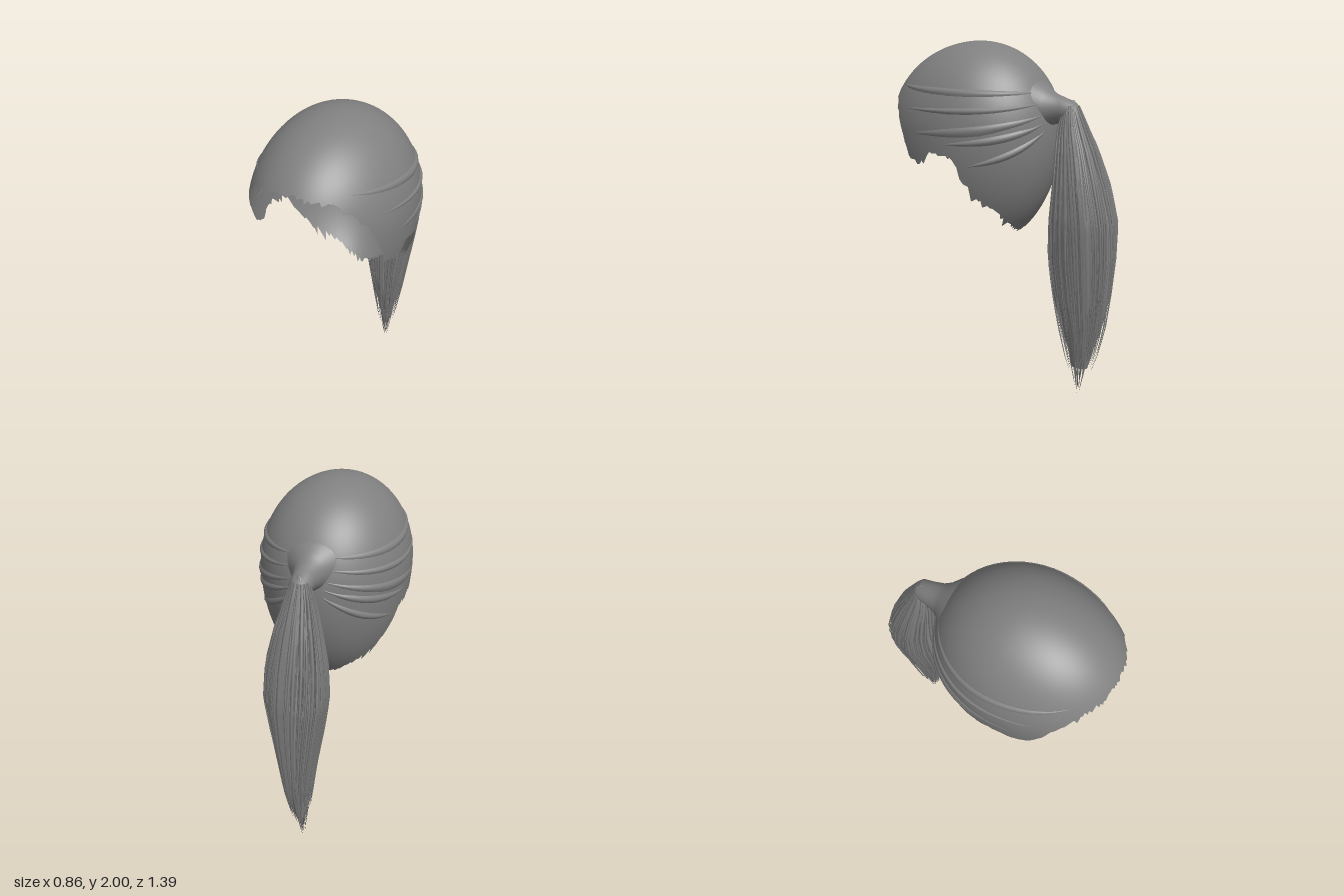
import * as THREE from 'three';
import { mergeVertices, mergeGeometries } from 'three/addons/utils/BufferGeometryUtils.js';

const hair = new THREE.MeshStandardMaterial({ color: 0x808080, side: THREE.DoubleSide });
hair.name = 'hair grey';

let seed = 7;
const rand = () => { seed = (seed * 16807) % 2147483647; return seed / 2147483647; };

// Piecewise linear lookup in rows of [key, a, b, ...], keys ascending
function lookup(rows, k, col = 1) {
  if (k <= rows[0][0]) return rows[0][col];
  for (let i = 1; i < rows.length; i++) {
    if (k <= rows[i][0]) {
      const f = (k - rows[i - 1][0]) / (rows[i][0] - rows[i - 1][0]);
      return THREE.MathUtils.lerp(rows[i - 1][col], rows[i][col], f);
    }
  }
  return rows[rows.length - 1][col];
}

// Surface from a grid of points fn(i, j)
function grid(nu, nv, fn) {
  const pos = [], idx = [];
  for (let j = 0; j <= nv; j++) for (let i = 0; i <= nu; i++) pos.push(...fn(i, j));
  const w = nu + 1;
  for (let j = 0; j < nv; j++) for (let i = 0; i < nu; i++) {
    const a = j * w + i, b = a + 1, c = a + w, d = c + 1;
    idx.push(a, c, b, b, c, d);
  }
  const g = new THREE.BufferGeometry();
  g.setAttribute('position', new THREE.Float32BufferAttribute(pos, 3));
  g.setIndex(idx);
  const m = mergeVertices(g, 1e-5);
  m.computeVertexNormals();
  return m;
}

// Point on the scalp: azimuth (0 = front, towards +x) and height above the brow plane
function scalp(az, phi, lift = 0) {
  const s = Math.sin(phi), c = Math.cos(phi);
  const rz = Math.cos(az) > 0 ? 0.577 : 0.5, ry = c > 0 ? 0.5 : 0.7;
  return [
    (0.425 + lift) * s * Math.sin(az),
    1.5 + (ry + lift) * c,
    0.2 + (rz + lift) * s * Math.cos(az),
  ];
}
const phiAt = (y) => Math.acos(THREE.MathUtils.clamp((y - 1.5) / (y > 1.5 ? 0.5 : 0.7), -1, 1));

// Hairline height by azimuth in degrees, with tooth depth
const hairline = [
  [0, 1.76, 0.02], [33, 1.72, 0.03], [45, 1.65, 0.03], [56, 1.57, 0.03], [62, 1.45, 0.02],
  [67, 1.34, 0.03], [76, 1.30, 0.03], [85, 1.37, 0.03], [102, 1.33, 0.05], [109, 1.2, 0.07],
  [119, 1.1, 0.07], [140, 1.0, 0.05], [158, 0.94, 0.03], [180, 0.9, 0.03],
];

function makeCap() {
  const n = 240, rows = 36, tooth = [];
  let left = 0, len = 1, depth = 0;
  for (let i = 0; i < n; i++) {
    if (left === 0) { len = left = 2 + Math.floor(rand() * 4); depth = rand(); }
    tooth.push((left / len) * depth - 0.4);
    left--;
  }
  return grid(n, rows, (i, j) => {
    const k = i % n, az = (k / n) * Math.PI * 2, t = j / rows;
    const deg = Math.abs((k / n) * 360 > 180 ? 360 - (k / n) * 360 : (k / n) * 360);
    const y = lookup(hairline, deg) - tooth[k] * lookup(hairline, deg, 2) * 1.3 * Math.pow(t, 20);
    return scalp(az, phiAt(y) * t);
  });
}

// Slightly raised lock running over the scalp back to the tie
function makeLock(az0, y0, az1, y1, width) {
  return grid(4, 20, (i, j) => {
    const t = j / 20, u = i / 4 - 0.5;
    const az = THREE.MathUtils.lerp(az0, az1, t) * Math.PI / 180;
    const y = THREE.MathUtils.lerp(y0, y1, t) + Math.sin(t * Math.PI) * -0.03;
    const swell = Math.sin(Math.PI * (0.04 + 0.92 * t));
    return scalp(az, phiAt(y) + u * width * swell, 0.012 * swell * (1 - 4 * u * u) - 0.002);
  });
}

// Flared stem gathering the cap into the tie: [z, centre y, half width, half height]
const stemRows = [
  [-0.2, 1.63, 0.19, 0.15], [-0.24, 1.63, 0.145, 0.125], [-0.28, 1.62, 0.1, 0.1], [-0.32, 1.612, 0.077, 0.083],
  [-0.37, 1.608, 0.064, 0.068], [-0.43, 1.6, 0.055, 0.052], [-0.455, 1.6, 0.035, 0.03], [-0.46, 1.6, 0, 0],
];
const makeStem = () => grid(28, stemRows.length - 1, (i, j) => {
  const a = ((i % 28) / 28) * Math.PI * 2, [z, y, w, h] = stemRows[j];
  return [Math.cos(a) * w, y + Math.sin(a) * h, z];
});

// Ponytail envelope: [y, inner z, outer z, half width]
const tail = [
  [0, -0.46, -0.485, 0.012], [0.2, -0.39, -0.58, 0.05], [0.4, -0.34, -0.64, 0.08], [0.6, -0.305, -0.67, 0.11],
  [0.8, -0.285, -0.69, 0.145], [1.0, -0.30, -0.69, 0.175], [1.2, -0.325, -0.64, 0.165], [1.4, -0.335, -0.565, 0.12],
  [1.5, -0.34, -0.515, 0.09], [1.6, -0.365, -0.47, 0.06], [1.64, -0.385, -0.45, 0.045], [1.66, -0.41, -0.43, 0.01],
];
function tailPoint(y, a, s) {
  const zi = lookup(tail, y, 1), zo = lookup(tail, y, 2), w = lookup(tail, y, 3);
  return new THREE.Vector3(
    Math.cos(a) * w * s - 0.02 * Math.max(0, 0.5 - y), y,
    (zi + zo) / 2 + Math.sin(a) * ((zi - zo) / 2) * s);
}

// Solid ribbed heart of the ponytail
function makeCore() {
  const n = 96, rows = 34, rib = Array.from({ length: n }, () => 0.88 + rand() * 0.08);
  return grid(n, rows, (i, j) => {
    const k = i % n, y = 1.66 - (j / rows) * 1.5;
    const s = THREE.MathUtils.lerp(rib[k], 0.6, THREE.MathUtils.smoothstep(0.6 - y, 0, 0.5));
    return tailPoint(y, (k / n) * Math.PI * 2, s).toArray();
  });
}

// One tapering strand hugging the ponytail surface
function makeStrand(a, s, end, thick) {
  const rows = 16, sway = (rand() - 0.5) * 0.3;
  return grid(4, rows, (i, j) => {
    const t = j / rows, y = THREE.MathUtils.lerp(1.63, end, t), b = a + sway * t;
    const p = tailPoint(y, b, s);
    const r = thick * Math.min(1, 0.4 + t * 3) * Math.pow(1 - t, 0.45);
    const c = ((i % 4) / 4) * Math.PI * 2;
    // flat section, wide along the surface
    const u = Math.cos(c) * r, v = Math.sin(c) * r * 0.4;
    return [p.x - Math.sin(b) * u + Math.cos(b) * v, p.y, p.z + Math.cos(b) * u + Math.sin(b) * v];
  });
}

export function createModel() {
  const group = new THREE.Group();
  const add = (name, geometry) => {
    const mesh = new THREE.Mesh(geometry, hair);
    mesh.name = name;
    group.add(mesh);
  };

  add('hairCap', makeCap());
  add('ponytailStem', makeStem());

  // Combed locks on both sides
  const locks = [];
  for (const side of [1, -1]) {
    locks.push(
      makeLock(side * 40, 1.76, side * 168, 1.7, 0.10),
      makeLock(side * 62, 1.62, side * 168, 1.64, 0.08),
      makeLock(side * 72, 1.48, side * 170, 1.58, 0.10),
      makeLock(side * 95, 1.42, side * 172, 1.54, 0.07),
      makeLock(side * 112, 1.3, side * 172, 1.5, 0.07));
  }
  add('combedLocks', mergeGeometries(locks));

  add('ponytailCore', makeCore());

  // Outer strands with ragged ends
  const strands = [];
  for (let i = 0; i < 130; i++) {
    const a = i * 2.39996, s = 0.86 + rand() * 0.14;
    strands.push(makeStrand(a, s, 0.12 + rand() * 0.5, 0.007 + rand() * 0.009));
  }
  // Long inner strands forming the tip
  for (let i = 0; i < 26; i++) {
    strands.push(makeStrand(i * 2.39996, 0.3 + rand() * 0.5, rand() * 0.2 * (i > 0 ? 1 : 0), 0.016));
  }
  add('ponytailStrands', mergeGeometries(strands));
  return group;
}
